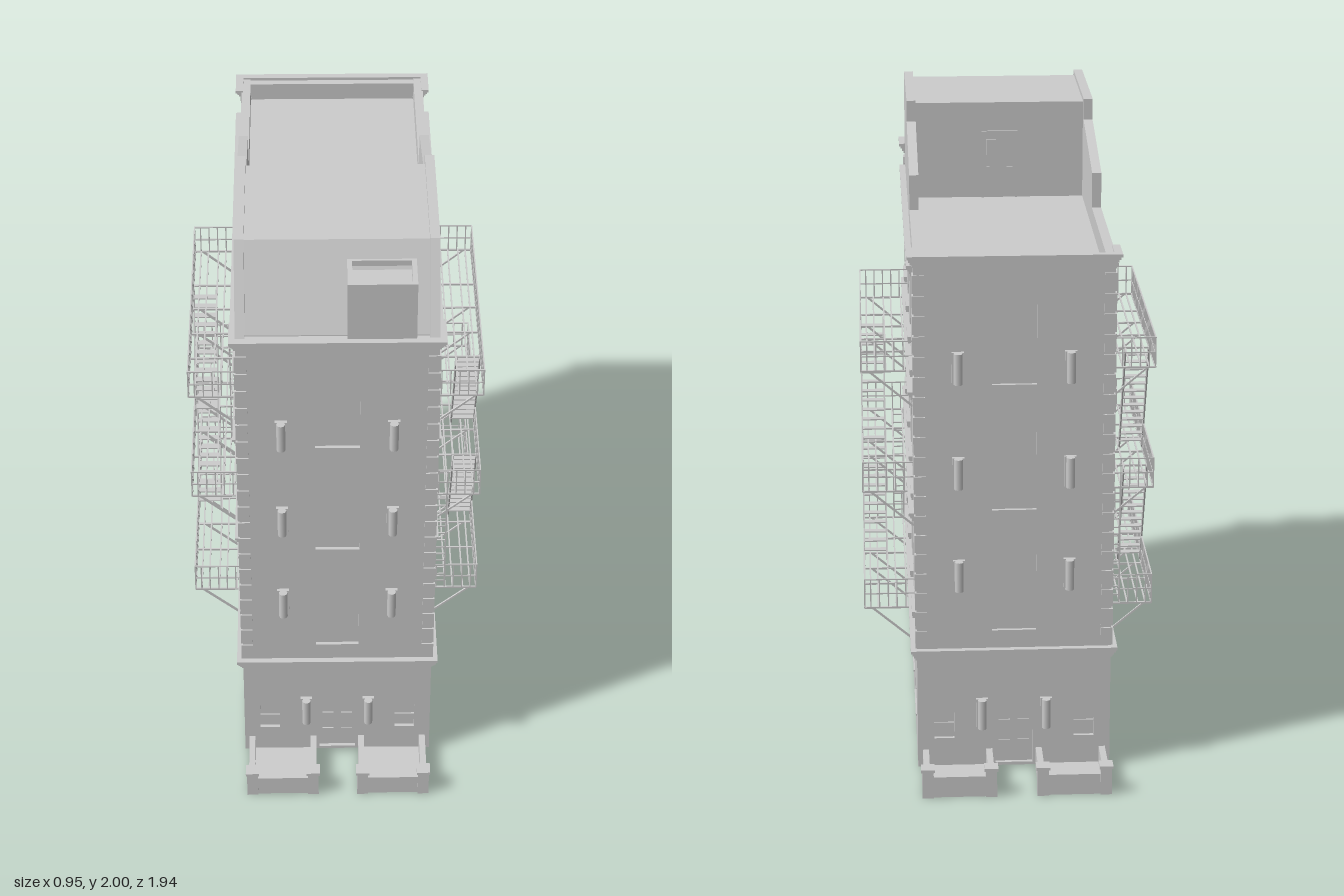
import * as THREE from 'three';

const stone = new THREE.MeshStandardMaterial({ color: 0xcccccc, side: THREE.DoubleSide });
stone.name = 'pale grey';

function add(parent, geo, name, x = 0, y = 0, z = 0) {
  const m = new THREE.Mesh(geo, stone);
  m.name = name;
  m.position.set(x, y, z);
  parent.add(m);
  return m;
}
// box given by its limits on each axis
function block(parent, name, x0, x1, y0, y1, z0, z1) {
  return add(parent, new THREE.BoxGeometry(x1 - x0, y1 - y0, z1 - z0), name,
    (x0 + x1) / 2, (y0 + y1) / 2, (z0 + z1) / 2);
}
// square bar between two points
const AXIS = new THREE.Vector3(0, 0, 1);
function bar(parent, name, a, b, t = 0.005) {
  const p = new THREE.Vector3(...a), d = new THREE.Vector3(...b).sub(p);
  const m = add(parent, new THREE.BoxGeometry(t, t, d.length()), name);
  m.position.copy(p).addScaledVector(d, 0.5);
  m.quaternion.setFromUnitVectors(AXIS, d.normalize());
}
const polygon = pts => new THREE.Shape(pts.map(p => new THREE.Vector2(...p)));
const extrude = (shape, depth) =>
  new THREE.ExtrudeGeometry(shape, { depth, bevelEnabled: false, curveSegments: 8 });

// window opening, with an optional shallow arch
function opening(x, y, w, h, rise = 0) {
  const p = new THREE.Path();
  p.moveTo(x - w / 2, y);
  p.lineTo(x + w / 2, y);
  p.lineTo(x + w / 2, y + h - rise);
  if (rise) p.quadraticCurveTo(x, y + h + rise, x - w / 2, y + h - rise);
  else p.lineTo(x - w / 2, y + h);
  p.closePath();
  return p;
}

// stepped moulding along a wall; local x runs along the wall, z points outwards
function cornice(parent, x0, x1, top, z, wrap, name) {
  for (let k = 0; k < 4; k++) {
    const out = 0.005 + k * 0.005, e = wrap ? out : k * 0.005;
    block(parent, name, x0 - e, x1 + e, top - 0.038 + k * 0.0095, top - 0.0285 + k * 0.0095, z - 0.005, z + out);
  }
}

const FLOORS = [0.485, 0.895, 1.31];
const T = 0.03;

// flat pane set back in its opening
function pane(parent, x, y, w, h, z) {
  block(parent, 'windowPane', x - w / 2 - 0.005, x + w / 2 + 0.005, y - 0.005, y + h + 0.005, z - 0.018, z - 0.012);
}
// pane with a meeting rail
function sash(parent, x, y, w, h, z) {
  pane(parent, x, y, w, h, z);
  block(parent, 'windowRail', x - w / 2, x + w / 2, y + h * 0.48, y + h * 0.52, z - 0.012, z - 0.007);
}

function panelDoor(parent, w, y0, y1, z) {
  block(parent, 'doorLeaf', -w, w, y0, y1, z - 0.004, z);
  for (const s of [-1, 1]) {
    for (const [a, b] of [[0.1, 0.48], [0.56, 0.9]]) {
      const h = y1 - y0, c = s * w / 2;
      block(parent, 'doorPanel', c - w * 0.3, c + w * 0.3, y0 + h * a, y0 + h * b, z, z + 0.004);
    }
  }
}

function lantern(parent, x, y, z) {
  block(parent, 'lanternPlate', x - 0.019, x + 0.019, y, y + 0.1, z, z + 0.012);
  add(parent, new THREE.CylinderGeometry(0.014, 0.014, 0.1, 8), 'lanternTube', x, y + 0.05, z + 0.02);
}

// low walled areaway with corner posts
function areaway(parent, x0, x1, z0, z1) {
  const g = new THREE.Group();
  g.name = 'areaway';
  parent.add(g);
  block(g, 'areawayFloor', x0 + 0.01, x1 - 0.01, 0.005, 0.014, z0, z1 - 0.012);
  block(g, 'areawayFrontWall', x0 + 0.012, x1 - 0.012, 0, 0.07, z1 - 0.035, z1 - 0.01);
  for (const x of [x0 + 0.01, x1 - 0.03]) block(g, 'areawaySideWall', x, x + 0.02, 0, 0.07, z0, z1 - 0.01);
  for (const x of [x0, x1 - 0.044]) {
    block(g, 'areawayPost', x + 0.004, x + 0.04, 0, 0.09, z1 - 0.04, z1 - 0.004);
    block(g, 'areawayPostCap', x, x + 0.044, 0.09, 0.1, z1 - 0.044, z1);
  }
}

// narrow facade, used for front and back
function endFacade(angle) {
  const g = new THREE.Group();
  g.name = 'endFacade';
  g.rotation.y = angle;
  const Z = 0.76;
  const wall = polygon([[-0.28, 0.01], [0.28, 0.01], [0.28, 1.72], [-0.28, 1.72]]);
  FLOORS.forEach((y, i) => {
    wall.holes.push(opening(0, y, 0.14, 0.27, 0.012));
    pane(g, 0, y, 0.14, 0.27, Z);
    for (const x of [-0.175, 0.175]) lantern(g, x, 0.63 + i * 0.345, Z);
  });
  for (const s of [-1, 1]) {
    wall.holes.push(opening(s * 0.225, 0.11, 0.065, 0.1));
    sash(g, s * 0.225, 0.11, 0.065, 0.1, Z);
    lantern(g, s * 0.103, 0.15, Z);
    areaway(g, s > 0 ? 0.06 : -0.305, s > 0 ? 0.305 : -0.06, Z, 0.97);
  }
  wall.holes.push(opening(0, 0.02, 0.12, 0.2));
  panelDoor(g, 0.062, 0.015, 0.185, Z - 0.012);
  block(g, 'doorTransom', -0.062, 0.062, 0.185, 0.225, Z - 0.016, Z - 0.01);
  add(g, extrude(wall, T), 'endWall', 0, 0, Z - T);
  cornice(g, -0.31, 0.31, 0.425, Z, true, 'baseCornice');
  cornice(g, -0.31, 0.31, 1.73, Z, true, 'topCornice');
  return g;
}

function fireEscape(parent, z) {
  const g = new THREE.Group();
  g.name = 'fireEscape';
  g.position.z = z;
  parent.add(g);
  const L = 0.41, D = 0.165, levels = [0.422, 0.832, 1.245];
  for (const y of levels) {
    for (const d of [0.025, 0.06, 0.085, 0.12, 0.145, D]) bar(g, 'platformSlat', [-L, y, d], [L, y, d]);
    for (const x of [-L, -0.205, -0.07, 0.07, 0.205, L]) bar(g, 'platformCrossBar', [x, y, 0], [x, y, D], 0.006);
    for (const x of [-L, -0.07, 0.07, L]) bar(g, 'platformBracket', [x, y, 0.14], [x, y - 0.12, 0], 0.006);
    for (const h of [0.05, 0.1]) {
      bar(g, 'handrail', [-L, y + h, D], [L, y + h, D], 0.004);
      for (const x of [-L, L]) bar(g, 'handrail', [x, y + h, 0], [x, y + h, D], 0.004);
    }
    for (let i = 0; i <= 27; i++) {
      const x = -L + (2 * L * i) / 27;
      bar(g, 'railPost', [x, y, D], [x, y + 0.102, D], 0.004);
    }
    for (const x of [-L, L]) for (let k = 1; k <= 5; k++)
      bar(g, 'railPost', [x, y, k * 0.029], [x, y + 0.102, k * 0.029], 0.004);
  }
  // stairs between platforms
  for (let f = 0; f < 2; f++) {
    const lo = levels[f], hi = levels[f + 1];
    for (const d of [0.085, 0.162]) {
      add(g, extrude(polygon([[-0.02, lo], [0.005, lo], [-0.17, hi], [-0.2, hi]].map(([x, y]) => [x - 0.01, y])), 0.005),
        'stairStringer', 0, 0, d);
    }
    for (let i = 1; i < 14; i++) {
      const t = i / 14, x = -0.02 - 0.175 * t, y = lo + (hi - lo) * t;
      block(g, 'stairTread', x - 0.012, x + 0.012, y - 0.002, y + 0.002, 0.085, 0.165);
    }
  }
  // wall ladder on the lowest storey
  for (const d of [0.022, 0.057]) bar(g, 'ladderRail', [-L, levels[0], d], [-L, levels[1], d]);
  for (let y = levels[0] + 0.03; y < levels[1]; y += 0.03) bar(g, 'ladderRung', [-L, y, 0.022], [-L, y, 0.057], 0.004);
}

// long facade; s = -1 puts the roof house towards local -x
function sideFacade(angle, s) {
  const g = new THREE.Group();
  g.name = 'sideFacade';
  g.rotation.y = angle;
  const Z = 0.31;
  const pts = [[0.76, 0.01], [0.76, 1.72], [0.62, 2], [0.16, 2], [0.16, 1.93], [-0.21, 1.84],
    [-0.21, 1.725], [-0.76, 1.725], [-0.76, 0.01]].map(([x, y]) => [x * s, y]);
  const wall = polygon(pts);
  for (const x of [-0.52, -0.173, 0.173, 0.52]) {
    for (const y of FLOORS) {
      wall.holes.push(opening(x, y, 0.122, 0.25, 0.025));
      sash(g, x, y, 0.122, 0.25, Z);
      block(g, 'windowSill', x - 0.072, x + 0.072, y - 0.018, y - 0.003, Z - 0.01, Z + 0.012);
      for (const e of [-0.062, 0.062]) block(g, 'sillBracket', x + e - 0.007, x + e + 0.007, y - 0.026, y - 0.018, Z, Z + 0.01);
    }
    wall.holes.push(opening(x, 0.13, 0.19, 0.05));
    pane(g, x, 0.13, 0.19, 0.05, Z);
    block(g, 'basementSill', x - 0.098, x + 0.098, 0.124, 0.13, Z - 0.01, Z + 0.004);
  }
  add(g, extrude(wall, T), 'sideWall', 0, 0, Z - T);
  cornice(g, -0.76, 0.76, 0.425, Z, true, 'baseCornice');
  for (const y of [0.842, 1.25, 1.662]) cornice(g, -0.625, 0.625, y, Z, false, 'floorBand');
  for (const [a, b] of [[-0.76, -0.69], [0.69, 0.76]]) cornice(g, a, b, 1.73, Z, true, 'topCorniceReturn');
  fireEscape(g, Z);
  return g;
}

export function createModel() {
  const root = new THREE.Group();
  root.name = 'apartmentBuilding';
  root.add(endFacade(0), endFacade(Math.PI), sideFacade(Math.PI / 2, -1), sideFacade(-Math.PI / 2, 1));

  // corner quoins
  for (const sx of [-1, 1]) for (const sz of [-1, 1]) for (let i = 0; i < 19; i++) {
    const y = 0.43 + i * 0.0655, w = 0.038, o = 0.005;
    add(root, new THREE.BoxGeometry(w, 0.058, w), 'quoin',
      sx * (0.31 + o - w / 2), y + 0.029, sz * (0.76 + o - w / 2));
  }

  // roof terrace and the sloped-front roof house
  block(root, 'terraceFloor', -0.28, 0.28, 1.64, 1.66, -0.73, 0.19);
  const house = polygon([[-0.19, 1.64], [-0.19, 1.985], [-0.6, 1.985], [-0.725, 1.72], [-0.73, 1.64]]);
  add(root, extrude(house, 0.56), 'roofHouse', -0.28, 0, 0).rotation.y = Math.PI / 2;
  const door = new THREE.Group();
  door.name = 'terraceDoor';
  door.rotation.y = Math.PI;
  root.add(door);
  panelDoor(door, 0.055, 1.66, 1.88, -0.188);
  for (const x of [-0.056, 0.056]) block(door, 'doorJamb', x - 0.004, x + 0.004, 1.66, 1.885, -0.19, -0.183);
  block(door, 'doorHead', -0.06, 0.06, 1.88, 1.888, -0.19, -0.183);

  // dormer box with a raised rim
  block(root, 'dormer', 0.035, 0.235, 1.72, 1.9, 0.625, 0.755);
  const rim = polygon([[0.03, -0.76], [0.24, -0.76], [0.24, -0.62], [0.03, -0.62]]);
  rim.holes.push(opening(0.135, -0.745, 0.18, 0.11));
  add(root, extrude(rim, 0.21), 'dormerRim', 0, 1.72, 0).rotation.x = -Math.PI / 2;
  return root;
}
